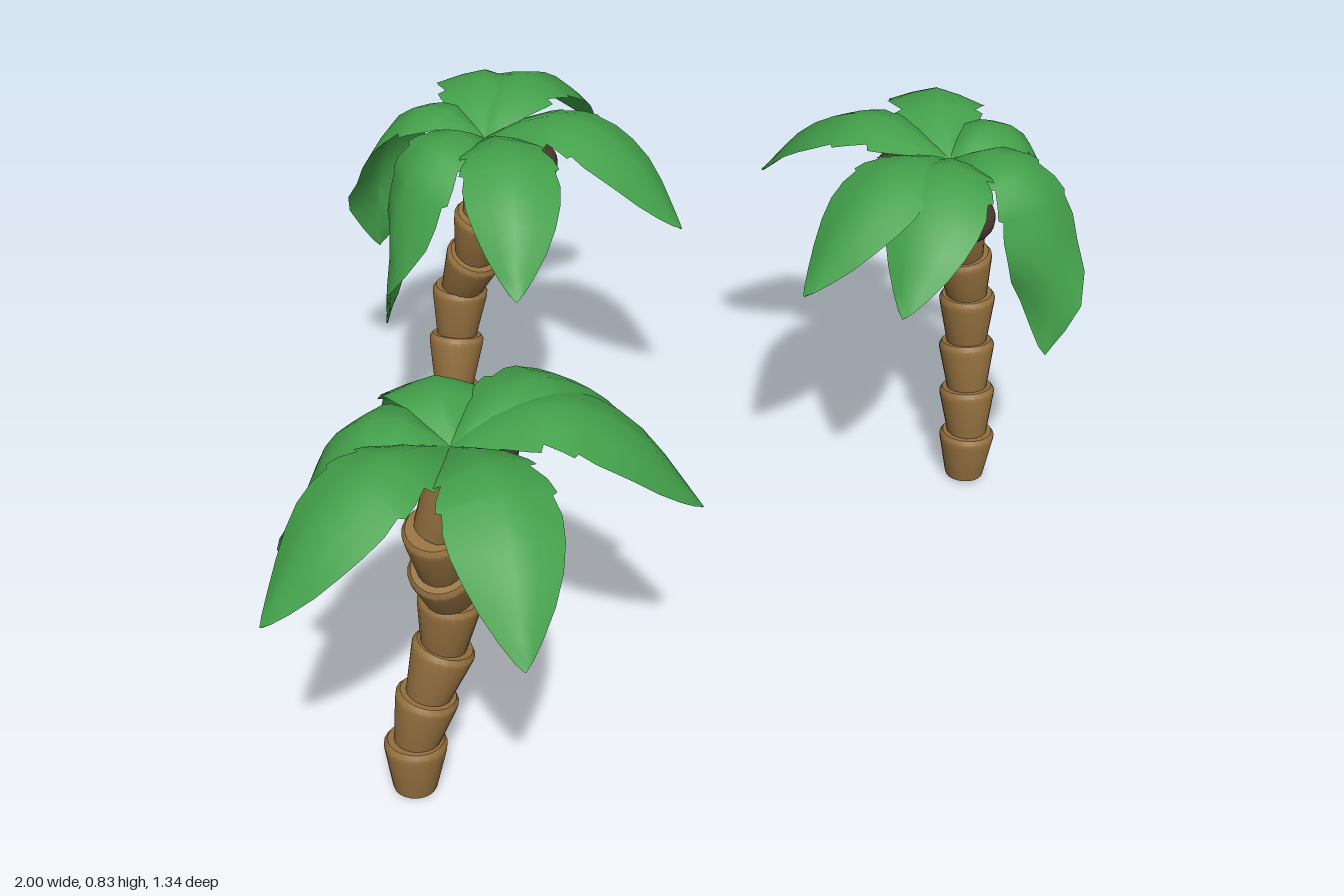
import * as THREE from 'three';
import { toCreasedNormals } from 'three/addons/utils/BufferGeometryUtils.js';

const V2 = (x, y) => new THREE.Vector2(x, y);
const V3 = (x, y, z) => new THREE.Vector3(x, y, z);
const rad = THREE.MathUtils.degToRad;

const barkMat = new THREE.MeshStandardMaterial({ color: 0x94703f });
const leafMat = new THREE.MeshStandardMaterial({ color: 0x43a04a });
const nutMat = new THREE.MeshStandardMaterial({ color: 0x4a3a30 });

// Trunk joints as [x, y, z], relative to the crown's centre
const curvedTrunk = [
  [-0.036, 0.005, -0.088], [-0.028, 0.1, -0.09], [-0.006, 0.2, -0.079], [0.025, 0.3, -0.066],
  [0.034, 0.41, -0.054], [-0.005, 0.51, -0.028], [-0.026, 0.61, -0.012], [0.012, 0.73, 0.016],
];
const leaningTrunk = [
  [0.098, 0.005, 0.05], [0.101, 0.1, 0.044], [0.108, 0.2, 0.027], [0.118, 0.3, 0.007],
  [0.116, 0.41, -0.003], [0.098, 0.51, -0.01], [0.063, 0.61, -0.01], [0, 0.73, 0],
];

// Leaf half width along its length; the sudden drops are notches
const leafWidth = [
  [0, 0.014], [0.08, 0.034], [0.16, 0.058], [0.25, 0.08], [0.29, 0.086], [0.305, 0.072],
  [0.38, 0.088], [0.44, 0.095], [0.455, 0.086], [0.53, 0.092], [0.62, 0.088], [0.72, 0.076],
  [0.82, 0.057], [0.91, 0.033], [0.97, 0.014], [1, 0.001],
];

// Rib curves: distance outward and height
const spreading = [[0, 0.77], [0.09, 0.818], [0.18, 0.828], [0.29, 0.772], [0.4, 0.635]];
const drooping = [[0, 0.77], [0.08, 0.818], [0.17, 0.787], [0.235, 0.66], [0.255, 0.45]];

// Leaves: direction in degrees from +x towards +z, rib curve, length factor
const leaves = [
  [180, spreading, 0.98], [117, spreading, 1], [42, spreading, 1.01],
  [14, spreading, 0.94], [-49, drooping, 1.05], [-120, drooping, 1],
];
const coconuts = [
  [-0.035, 0.725, 0.09], [0.062, 0.668, 0.065], [0.115, 0.71, -0.037], [0.075, 0.735, 0.01],
];

// Flared trunk ring with a rounded upper rim
function ringGeometry(length) {
  const profile = [
    V2(0, 0), V2(0.038, 0), V2(0.04, 0.006), V2(0.055, length - 0.016),
    V2(0.056, length - 0.005), V2(0.05, length + 0.004), V2(0, length + 0.006),
  ];
  return toCreasedNormals(new THREE.LatheGeometry(profile, 20), 0.7);
}

// Thin curved leaf running along +x, lofted from lens-shaped sections
function leafGeometry(rib, stretch) {
  const bow = 0.02;
  const last = rib.length - 1;
  const curve = new THREE.CatmullRomCurve3(
    rib.map(([r, y], i) => V3(r * stretch, y, -bow * Math.sin(Math.PI * i / last))));
  const across = [-1, -0.5, 0, 0.5, 1, 0.5, 0, -0.5];
  const n = across.length;
  const pos = [], index = [];
  leafWidth.forEach(([t, w], i) => {
    const p = curve.getPointAt(t), tan = curve.getTangentAt(t);
    const side = V3(-tan.z, 0, tan.x).normalize();
    const up = side.clone().cross(tan);
    across.forEach((u, j) => {
      const under = j > 4 ? 0.14 * w * (1 - u * u) + 0.003 : 0;
      const drop = 0.32 * w * Math.pow(Math.abs(u), 1.3) + under;
      const v = p.clone().addScaledVector(side, u * w).addScaledVector(up, -drop);
      pos.push(v.x, v.y, v.z);
      if (i === 0) return;
      const a = (i - 1) * n + j, b = (i - 1) * n + (j + 1) % n;
      index.push(a, b, a + n, b, b + n, a + n);
    });
  });
  const g = new THREE.BufferGeometry();
  g.setAttribute('position', new THREE.Float32BufferAttribute(pos, 3));
  g.setIndex(index);
  return toCreasedNormals(g, 0.8);
}

function createTrunk(joints) {
  const trunk = new THREE.Group();
  trunk.name = 'trunk';
  const pts = joints.map((p) => V3(...p));
  for (let i = 0; i < pts.length - 1; i++) {
    const dir = pts[i + 1].clone().sub(pts[i]);
    const ring = new THREE.Mesh(ringGeometry(dir.length() + 0.006), barkMat);
    ring.name = 'trunkRing';
    ring.position.copy(pts[i]);
    ring.quaternion.setFromUnitVectors(V3(0, 1, 0), dir.normalize());
    trunk.add(ring);
  }
  return trunk;
}

function createCrown() {
  const crown = new THREE.Group();
  crown.name = 'crown';
  for (const [angle, rib, stretch] of leaves) {
    const leaf = new THREE.Mesh(leafGeometry(rib, stretch), leafMat);
    leaf.name = 'leaf';
    leaf.rotation.y = -rad(angle);
    crown.add(leaf);
  }
  for (const p of coconuts) {
    const nut = new THREE.Mesh(new THREE.SphereGeometry(0.048, 20, 14), nutMat);
    nut.name = 'coconut';
    nut.position.set(...p);
    crown.add(nut);
  }
  return crown;
}

function createPalm(name, x, z, joints, trunkTurn, crownTurn) {
  const palm = new THREE.Group();
  palm.name = name;
  palm.position.set(x, 0, z);
  const trunk = createTrunk(joints), crown = createCrown();
  trunk.rotation.y = rad(trunkTurn);
  crown.rotation.y = rad(crownTurn);
  palm.add(trunk, crown);
  return palm;
}

export function createModel() {
  const model = new THREE.Group();
  model.name = 'palmTrees';
  model.add(
    createPalm('rightPalm', -0.61, 0.31, curvedTrunk, 0, 0),
    createPalm('backPalm', 0.13, -0.4, curvedTrunk, 55, 55),
    createPalm('leftPalm', 0.697, 0.295, leaningTrunk, 0, 220),
  );
  return model;
}
